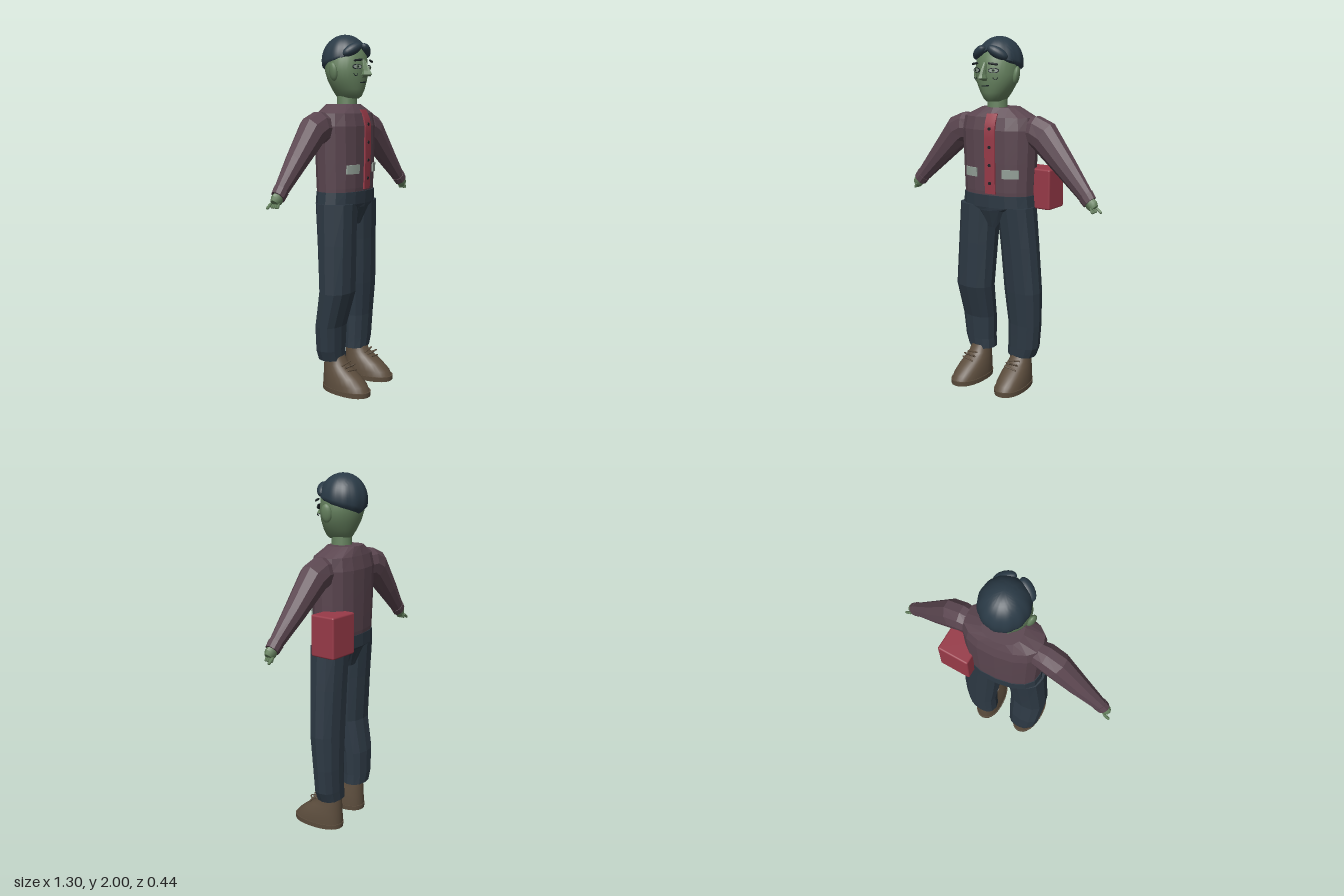
import * as THREE from 'three';
import { toCreasedNormals } from 'three/addons/utils/BufferGeometryUtils.js';
import { RoundedBoxGeometry } from 'three/addons/geometries/RoundedBoxGeometry.js';

const paint = (name, color) => Object.assign(new THREE.MeshStandardMaterial({ color }), { name });

// Closed skin through elliptical sections [x, y, z, side radius, z radius, dirX = 0, dirY = 1]
function loft(sections, sides, crease, power = 1) {
  const pos = [], idx = [];
  const bend = (t) => Math.sign(t) * Math.abs(t) ** power;
  for (const [x, y, z, rv, rz, dx = 0, dy = 1] of sections) {
    const l = Math.hypot(dx, dy);
    for (let j = 0; j < sides; j++) {
      const a = (j / sides) * Math.PI * 2, s = bend(Math.sin(a)) * rv / l;
      pos.push(x + dy * s, y - dx * s, z + bend(Math.cos(a)) * rz);
    }
  }
  const n = sections.length, first = n * sides, last = first + 1;
  pos.push(...sections[0].slice(0, 3), ...sections[n - 1].slice(0, 3));
  for (let j = 0; j < sides; j++) {
    const k = (j + 1) % sides, top = (n - 1) * sides;
    for (let i = 0; i < n - 1; i++) {
      const a = i * sides + j, b = i * sides + k;
      idx.push(a, b, b + sides, a, b + sides, a + sides);
    }
    idx.push(first, k, j, last, top + j, top + k);
  }
  const g = new THREE.BufferGeometry();
  g.setAttribute('position', new THREE.Float32BufferAttribute(pos, 3));
  g.setIndex(idx);
  return toCreasedNormals(g, crease);
}

function bendGeometry(g, rule) {
  const p = g.attributes.position, v = new THREE.Vector3();
  for (let i = 0; i < p.count; i++) {
    rule(v.fromBufferAttribute(p, i));
    p.setXYZ(i, v.x, v.y, v.z);
  }
  g.computeVertexNormals();
  return g;
}

export function createModel() {
  const model = new THREE.Group();
  const skin = paint('skin', 0x66825f), hairDark = paint('hair', 0x2a3a46), shirt = paint('shirt', 0x5b4650);
  const denim = paint('trousers', 0x2d3944), red = paint('red', 0x983a48), leather = paint('shoe leather', 0x5c4d3d);
  const pale = paint('pale cloth', 0x94a198), ink = paint('dark detail', 0x1b2326);
  const add = (name, geo, mat, parent = model, x = 0, y = 0, z = 0) => {
    const m = new THREE.Mesh(geo, mat);
    m.name = name;
    m.position.set(x, y, z);
    parent.add(m);
    return m;
  };
  const FLAT = 0.02, SMOOTH = 0.9;

  // Torso, turned slightly so its right side leads
  const torso = new THREE.Group();
  torso.name = 'torso';
  torso.position.set(0.022, 0, -0.045);
  torso.rotation.y = 0.11;
  model.add(torso);
  const rings = [
    [0, 1.08, 0, 0.208, 0.118], [0, 1.16, 0, 0.212, 0.126], [0, 1.32, 0, 0.218, 0.131],
    [0, 1.5, 0, 0.224, 0.133], [0, 1.57, 0, 0.212, 0.118], [0, 1.62, -0.012, 0.108, 0.09]];
  add('shirt', loft(rings, 16, FLAT, 0.85), shirt, torso);
  add('hips', loft([[0, 0.95, 0.01, 0.05, 0.08], [0, 1.05, 0.01, 0.13, 0.115], [0, 1.07, 0, 0.222, 0.128],
    [0, 1.14, 0.002, 0.215, 0.129]], 16, FLAT, 0.85), denim, torso);

  // Thin pieces that follow the shirt front
  const surface = (x, y) => {
    let i = 0;
    while (i < rings.length - 2 && y > rings[i + 1][1]) i++;
    const a = rings[i], b = rings[i + 1], t = (y - a[1]) / (b[1] - a[1]);
    const mix = (k) => a[k] + (b[k] - a[k]) * t;
    return mix(2) + mix(4) * Math.max(0, 1 - (Math.abs(x) / mix(3)) ** (2 / 0.85)) ** 0.425;
  };
  const patch = (name, x, y, w, h, mat) => add(name, bendGeometry(
    new THREE.BoxGeometry(w, h, 0.009, 4, 10, 1).translate(x, y, 0),
    (v) => { v.z += surface(v.x, v.y) + 0.005; }), mat, torso);
  patch('placket', 0.012, 1.37, 0.064, 0.44, red);
  for (const s of [-1, 1]) patch('pocketFlap', 0.006 + s * 0.122, 1.265, 0.086, 0.05, pale);
  for (let i = 0; i < 4; i++) {
    const y = 1.21 + i * 0.1;
    add('button', new THREE.CylinderGeometry(0.009, 0.009, 0.006, 10).rotateX(Math.PI / 2), ink, torso, 0.012, y, surface(0.012, y) + 0.01);
  }

  // Arms and hands
  for (const s of [1, -1]) {
    const dz = s > 0 ? 0 : 0.02;
    const limb = (list) => list.map(([x, y, z, r, rz, dx, dy]) => [0.015 + s * (x - 0.015), y, z + dz, r, rz, s * dx, dy]);
    const arm = new THREE.Group();
    arm.name = s > 0 ? 'leftArm' : 'rightArm';
    model.add(arm);
    add('sleeve', loft(limb([
      [0.2, 1.49, -0.065, 0.085, 0.065, 1, 0], [0.25, 1.493, -0.065, 0.09, 0.073, 1, -0.1],
      [0.308, 1.465, -0.065, 0.093, 0.073, 0.85, -0.5], [0.45, 1.315, -0.058, 0.065, 0.055, 0.7, -0.72],
      [0.585, 1.175, -0.047, 0.042, 0.034, 0.7, -0.7]]), 10, FLAT), shirt, arm);
    add('cuff', loft(limb([[0.578, 1.183, -0.047, 0.046, 0.039, 0.7, -0.7],
      [0.605, 1.152, -0.045, 0.042, 0.036, 0.7, -0.7]]), 10, FLAT), shirt, arm);
    add('hand', loft(limb([[0.59, 1.168, -0.045, 0.03, 0.026, 0.7, -0.7], [0.618, 1.138, -0.044, 0.036, 0.028, 0.7, -0.7],
      [0.632, 1.122, -0.044, 0.027, 0.022, 0.7, -0.7]]), 8, SMOOTH), skin, arm);
    for (let i = 0; i < 4; i++) {
      const finger = add('finger', new THREE.CapsuleGeometry(0.007, 0.02, 3, 6), skin, arm,
        0.015 + s * 0.612, 1.112, -0.064 + i * 0.013 + dz);
      finger.rotation.z = s * 0.4;
    }
    const thumb = add('thumb', new THREE.CapsuleGeometry(0.008, 0.03, 3, 6), skin, arm, 0.015 + s * 0.63, 1.11, -0.07 + dz);
    thumb.rotation.z = s * 0.9;
  }

  // Trouser legs: the right knee is pushed forward
  const legs = {
    leftLeg: [[0.165, 0.18, -0.07, 0.085, 0.068], [0.178, 0.24, -0.07, 0.096, 0.07], [0.185, 0.38, -0.068, 0.1, 0.073],
      [0.178, 0.58, -0.058, 0.113, 0.082], [0.158, 0.85, -0.05, 0.112, 0.09], [0.138, 1.075, -0.042, 0.112, 0.1]],
    rightLeg: [[-0.105, 0.18, -0.045, 0.085, 0.07], [-0.117, 0.24, -0.045, 0.095, 0.072], [-0.122, 0.38, -0.04, 0.104, 0.075],
      [-0.12, 0.58, 0.004, 0.114, 0.09], [-0.107, 0.85, -0.008, 0.114, 0.1], [-0.096, 1.075, -0.02, 0.114, 0.11]]
  };
  for (const name in legs) add(name, loft(legs[name], 12, FLAT, 0.85), denim);

  // Shoes with sole and laces
  for (const [name, x, z, turn] of [['leftShoe', 0.167, 0, 0.08], ['rightShoe', -0.107, 0.04, -0.05]]) {
    const shoe = new THREE.Group();
    shoe.name = name;
    shoe.position.set(x, 0, z);
    shoe.rotation.y = turn;
    model.add(shoe);
    add('sole', loft([[0, 0, 0.017, 0.084, 0.156], [0, 0.028, 0.017, 0.086, 0.158]], 28, SMOOTH, 0.9), leather, shoe);
    add('upper', loft([[0, 0.02, 0.017, 0.082, 0.154], [0, 0.055, 0.008, 0.081, 0.144], [0, 0.095, -0.014, 0.074, 0.12],
      [0, 0.13, -0.04, 0.066, 0.092], [0, 0.155, -0.058, 0.06, 0.072], [0, 0.2, -0.068, 0.055, 0.056]], 28, SMOOTH, 0.9), leather, shoe);
    for (let i = 0; i < 3; i++) {
      const lace = add('lace', new THREE.CapsuleGeometry(0.005, 0.07, 3, 6), leather, shoe, 0, 0.133 + i * 0.015, 0.06 - i * 0.022);
      lace.rotation.z = Math.PI / 2 + (i - 1) * 0.15;
    }
    for (const s of [-1, 1]) {
      const loop = add('laceLoop', new THREE.TorusGeometry(0.015, 0.004, 5, 12), leather, shoe, s * 0.02, 0.155, 0.045);
      loop.rotation.x = 1.1;
    }
  }

  // Head
  const head = new THREE.Group();
  head.name = 'head';
  head.position.x = 0.014;
  model.add(head);
  add('neck', new THREE.CylinderGeometry(0.054, 0.058, 0.12, 20), skin, head, 0, 1.63, -0.028);
  add('skull', loft([[0, 1.652, -0.012, 0.042, 0.06], [0, 1.665, -0.014, 0.058, 0.077], [0, 1.7, -0.018, 0.083, 0.094],
    [0, 1.75, -0.025, 0.111, 0.108], [0, 1.8, -0.03, 0.124, 0.118], [0, 1.88, -0.035, 0.117, 0.118],
    [0, 1.94, -0.04, 0.09, 0.095], [0, 1.975, -0.04, 0.04, 0.045]], 28, 1.2), skin, head);
  add('nose', loft([[0, 1.765, 0.085, 0.012, 0.012], [0, 1.778, 0.102, 0.021, 0.042],
    [0, 1.8, 0.098, 0.014, 0.032], [0, 1.86, 0.083, 0.009, 0.012]], 8, FLAT), skin, head);
  for (const s of [-1, 1]) {
    const ear = add('ear', new THREE.SphereGeometry(1, 14, 10), skin, head, s * 0.129, 1.793, -0.025);
    ear.scale.set(0.017, 0.05, 0.03);
    ear.rotation.set(0, s * 0.3, -s * 0.15);
    const face = new THREE.Group();
    face.name = s > 0 ? 'leftEye' : 'rightEye';
    face.position.set(s * 0.057, 1.82, 0.083);
    face.rotation.y = s * 0.35;
    head.add(face);
    const disc = (name, rx, ry, z, mat) => add(name,
      new THREE.CylinderGeometry(1, 1, 0.004, 20).rotateX(Math.PI / 2).scale(rx, ry, 1), mat, face, 0, 0, z);
    disc('eyeOutline', 0.031, 0.014, 0, ink);
    disc('eyeWhite', 0.026, 0.01, 0.003, pale);
    disc('iris', 0.009, 0.009, 0.006, skin);
    disc('pupil', 0.005, 0.005, 0.008, ink);
    const brow = add('eyebrow', new THREE.CapsuleGeometry(0.006, 0.045, 3, 8), ink, face, 0, 0.035, 0.01);
    brow.rotation.z = Math.PI / 2 - s * 0.12;
    const mark = add('cheekMark', new THREE.TorusGeometry(0.013, 0.002, 4, 10, Math.PI), ink, face, s * 0.01, -0.035, 0.002);
    mark.rotation.z = Math.PI;
  }
  const mouth = add('mouth', new THREE.BoxGeometry(0.048, 0.006, 0.008), ink, head, 0, 1.738, 0.08);
  mouth.rotation.z = 0.08;

  // Hair: ridged cap trimmed along a parted hairline
  const hairline = (a) => (a < 0.9 ? 1.92 - 0.055 * a / 0.9 : 1.865 - 0.075 * (a - 0.9) / 2.24);
  const cap = bendGeometry(new THREE.SphereGeometry(1, 64, 18, 0, Math.PI * 2, 0, Math.PI / 2), (v) => {
    const az = Math.atan2(v.x, v.z), t = Math.acos(Math.min(1, v.y)) / (Math.PI / 2);
    const theta = t * Math.acos((hairline(Math.abs(az)) - 1.86) / 0.14);
    const r = (1 + 0.035 * (Math.abs(Math.sin(az * 6 + t)) - 0.6) * t) * (t > 0.99 ? 0.9 : 1);
    v.set(0.127 * r * Math.sin(theta) * Math.sin(az), 1.86 + 0.14 * Math.cos(theta),
      -0.043 + 0.132 * r * Math.sin(theta) * Math.cos(az));
  });
  add('hair', toCreasedNormals(cap, SMOOTH), hairDark, head, 0.005, 0, 0);
  // Swept fringe locks either side of the parting
  for (const s of [-1, 1]) {
    const lock = add('fringe', new THREE.SphereGeometry(1, 16, 12), hairDark, head, s * 0.06, 1.912, 0.052);
    lock.scale.set(0.062, 0.03, 0.032);
    lock.rotation.set(0, s * 0.5, -s * 0.5);
  }

  // Box carried behind the left hip
  add('satchel', new RoundedBoxGeometry(0.185, 0.225, 0.15, 2, 0.01), red, model, 0.243, 1.178, -0.146);
  return model;
}
